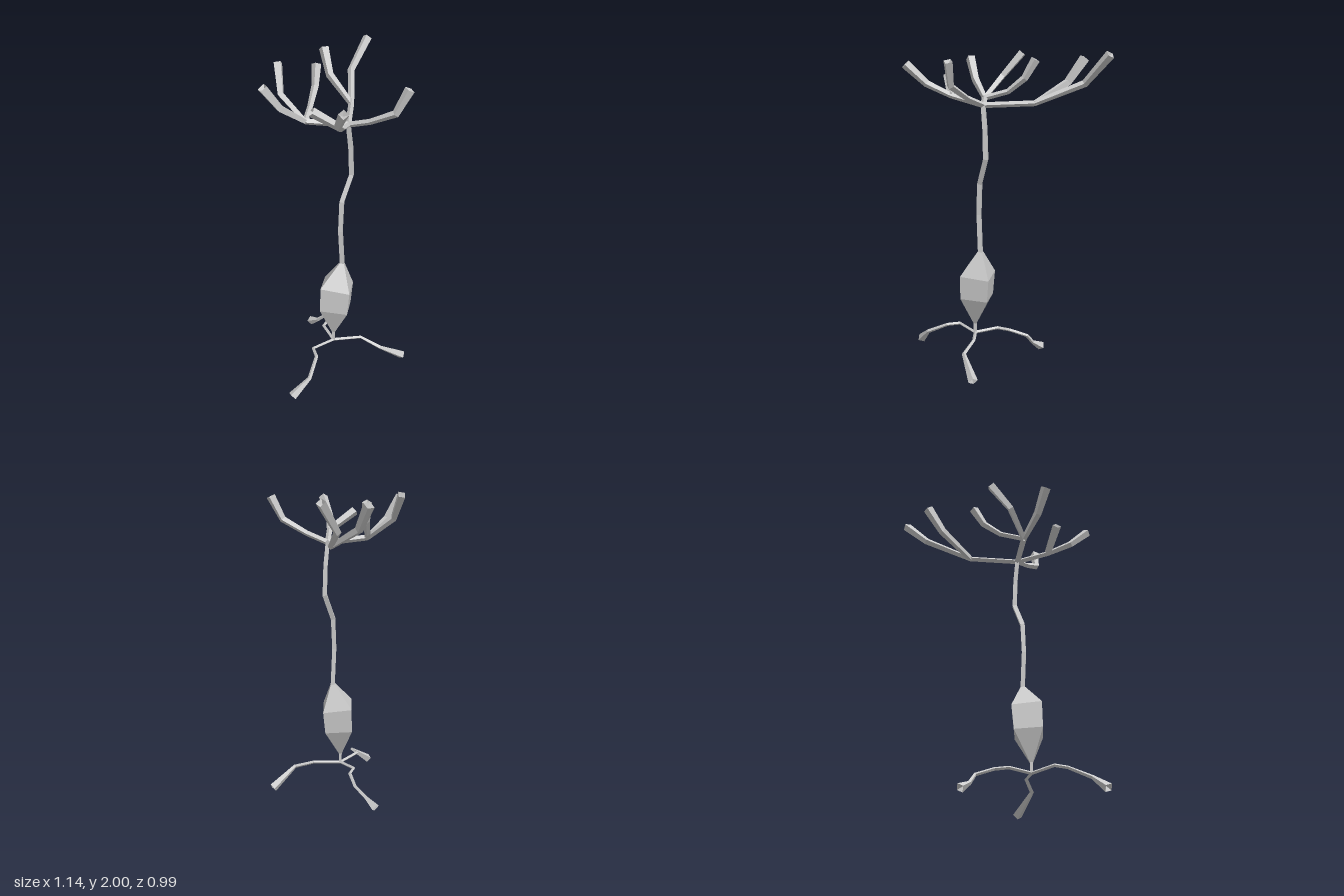
import * as THREE from 'three';

const material = new THREE.MeshStandardMaterial({ color: 0xcccccc, flatShading: true });

// Four-sided tube swept along points of [x, y, z, radius]; the far cap is dented by a depth
function limb(name, points, dent = 0, twist = 0) {
  const centres = points.map(([x, y, z]) => new THREE.Vector3(x, y, z));
  const last = points.length - 1;
  const positions = [];
  const index = [];
  const tangent = new THREE.Vector3();
  let normal = null;

  centres.forEach((centre, i) => {
    // Tangent averaged over the neighbouring segments
    tangent.set(0, 0, 0);
    if (i > 0) tangent.add(centre.clone().sub(centres[i - 1]).normalize());
    if (i < last) tangent.add(centres[i + 1].clone().sub(centre).normalize());
    tangent.normalize();
    // Carry the section's orientation along the path
    if (!normal) {
      normal = Math.abs(tangent.y) > 0.8 ? new THREE.Vector3(0, 0, 1) : new THREE.Vector3(0, 1, 0);
    }
    normal.addScaledVector(tangent, -normal.dot(tangent)).normalize();
    const side = tangent.clone().cross(normal);
    for (let k = 0; k < 4; k++) {
      const a = (k * Math.PI) / 2 + twist;
      const corner = centre.clone()
        .addScaledVector(normal, Math.cos(a) * points[i][3])
        .addScaledVector(side, Math.sin(a) * points[i][3]);
      positions.push(corner.x, corner.y, corner.z);
    }
  });
  const tip = centres[last].clone().addScaledVector(tangent, -dent);
  positions.push(tip.x, tip.y, tip.z);

  // Sides, then the two caps
  for (let i = 0; i < last; i++) {
    for (let k = 0; k < 4; k++) {
      const a = i * 4 + k, b = i * 4 + ((k + 1) % 4);
      index.push(a, b, b + 4, a, b + 4, a + 4);
    }
  }
  index.push(0, 2, 1, 0, 3, 2);
  const e = last * 4;
  for (let k = 0; k < 4; k++) index.push(e + 4, e + k, e + ((k + 1) % 4));

  const geometry = new THREE.BufferGeometry();
  geometry.setAttribute('position', new THREE.Float32BufferAttribute(positions, 3));
  geometry.setIndex(index);
  geometry.computeVertexNormals();
  const mesh = new THREE.Mesh(geometry, material);
  mesh.name = name;
  return mesh;
}

// Even stem, slight swelling at the last bend, flared and dented tip
function flared(name, path, stem, bend, tip, twist = 0) {
  const n = path.length;
  const points = path.map((p, i) => [...p, i === n - 1 ? tip : i === n - 2 ? bend : stem]);
  return limb(name, points, 0.025, twist);
}

export function createModel() {
  const model = new THREE.Group();

  // Cell body with its short lower neck
  model.add(limb('cellBody', [
    [-0.11, 0.24, 0.11, 0.012], [-0.092, 0.43, 0.107, 0.124],
    [-0.08, 0.585, 0.107, 0.132], [-0.04, 0.745, 0.11, 0.018],
  ]));
  model.add(limb('lowerNeck', [[-0.11, 0.172, 0.11, 0.012], [-0.11, 0.26, 0.11, 0.014]]));

  // Long wavy stalk
  model.add(limb('stalk', [
    [-0.04, 0.735, 0.11, 0.019], [-0.055, 0.98, 0.11, 0.019], [-0.045, 1.18, 0.11, 0.02],
    [0.028, 1.345, 0.11, 0.02], [0.02, 1.53, 0.11, 0.019], [0, 1.68, 0.11, 0.018],
  ]));

  // Upper branches, each running from the hub or from a fork point
  const hub = [0, 1.675, 0.11];
  const forkBack = [0.205, 1.69, -0.13];
  const forkLeft = [-0.21, 1.7, -0.03];
  const forkFront = [-0.15, 1.73, 0.25];
  const crown = new THREE.Group();
  crown.name = 'upperBranches';
  crown.add(limb('branchLink', [[...hub, 0.018], [...forkLeft, 0.019]]));
  [
    [hub, forkBack, [0.385, 1.81, -0.37], [0.555, 1.985, -0.42]],
    [hub, forkFront, [-0.26, 1.8, 0.36], [-0.31, 1.92, 0.478]],
    [hub, [0.05, 1.725, 0.25], [0.115, 1.805, 0.4], [0.172, 1.95, 0.447]],
    [forkFront, [-0.31, 1.845, 0.18]],
    [forkLeft, [-0.265, 1.83, -0.2], [-0.205, 1.98, -0.315]],
    [forkLeft, [-0.1, 1.742, -0.135], [-0.015, 1.828, -0.205], [0.032, 1.945, -0.255]],
  ].forEach((path) => crown.add(flared('branch', path, 0.018, 0.023, 0.03)));
  // Two branches with a flat side up
  [
    [forkBack, [0.215, 1.81, -0.37], [0.245, 1.955, -0.475]],
    [forkLeft, [-0.365, 1.807, -0.055], [-0.465, 1.945, -0.077]],
  ].forEach((path) => crown.add(flared('branch', path, 0.018, 0.026, 0.033, Math.PI / 4)));
  model.add(crown);

  // Three thin roots spreading to the floor
  const base = [-0.11, 0.177, 0.11];
  const roots = new THREE.Group();
  roots.name = 'roots';
  [
    [base, [0.04, 0.19, 0.21], [0.11, 0.145, 0.325], [0.277, 0.03, 0.358]],
    [base, [-0.285, 0.19, 0.125], [-0.315, 0.187, 0.205], [-0.43, 0.12, 0.29], [-0.555, 0.03, 0.278]],
    [base, [-0.08, 0.187, -0.045], [0, 0.187, -0.09], [0.053, 0.145, -0.19], [0.02, 0.075, -0.26], [0.013, 0.03, -0.335]],
  ].forEach((path) => roots.add(flared('root', path, 0.011, 0.013, 0.03)));
  model.add(roots);

  return model;
}
